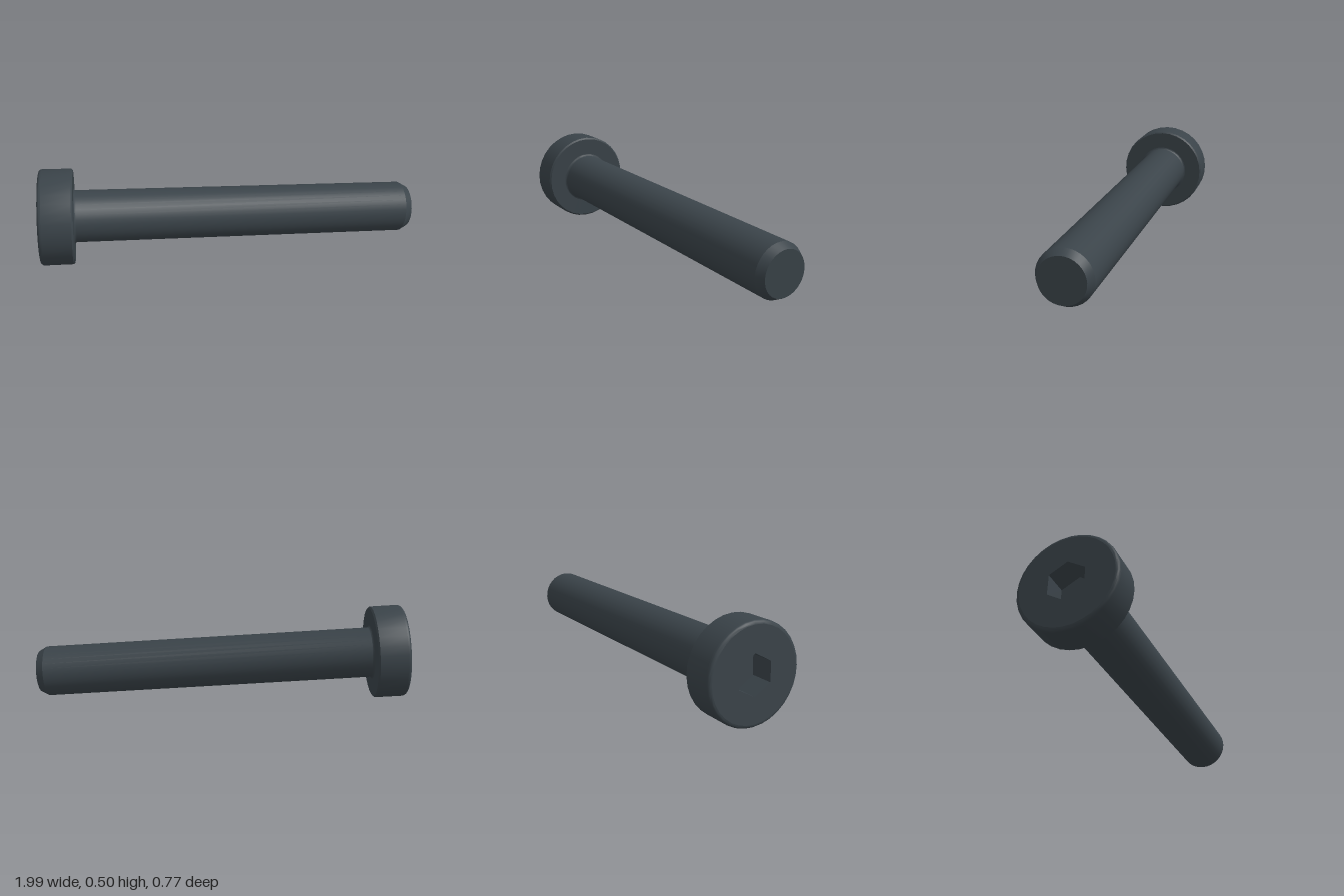
import * as THREE from 'three';
import { toCreasedNormals } from 'three/addons/utils/BufferGeometryUtils.js';

const SIDES = 32;
const HEAD_R = 0.246, HEAD_H = 0.17, HEAD_FILLET = 0.018, UNDER_CHAMFER = 0.008;
const SHANK_R = 0.134, TIP_R = 0.112, TIP_CHAMFER = 0.04, NECK_FILLET = 0.012;
const HEX_R = 0.1, HEX_DEPTH = 0.12;

// Quarter-round profile points about (cx, cy)
function arc(cx, cy, r, from, to, steps = 4) {
  return Array.from({ length: steps + 1 }, (_, i) => {
    const a = from + ((to - from) * i) / steps;
    return [cx + r * Math.cos(a), cy + r * Math.sin(a)];
  });
}

function lathe(points, sides) {
  const profile = points.map(([r, y]) => new THREE.Vector2(r, y));
  return toCreasedNormals(new THREE.LatheGeometry(profile, sides), 0.45);
}

function ring(radius, sides) {
  return Array.from({ length: sides }, (_, i) => {
    const a = (i / sides) * Math.PI * 2;
    return new THREE.Vector2(radius * Math.sin(a), radius * Math.cos(a));
  });
}

export function createModel() {
  const steel = new THREE.MeshStandardMaterial({ color: 0x3a4349 });
  steel.name = 'dark steel';

  const model = new THREE.Group();
  model.name = 'socketHeadBolt';
  const add = (name, geometry) => {
    const mesh = new THREE.Mesh(geometry, steel);
    mesh.name = name;
    model.add(mesh);
  };

  // Bolt axis runs along local y, from the head's outer face to the tip
  const seat = new THREE.Vector3(-0.78, 0.248, -0.117);
  const tip = new THREE.Vector3(0.972, 0.134, 0.261);
  const axis = tip.clone().sub(seat).normalize();
  const length = HEAD_H + tip.distanceTo(seat);

  // Head wall: rounded outer rim, small chamfer and flat bearing face
  add('head', lathe([
    ...arc(HEAD_R - HEAD_FILLET, HEAD_FILLET, HEAD_FILLET, -Math.PI / 2, 0),
    [HEAD_R, HEAD_H - UNDER_CHAMFER],
    [HEAD_R - UNDER_CHAMFER, HEAD_H],
    [SHANK_R + NECK_FILLET, HEAD_H],
  ], SIDES));

  // Outer face with the hexagonal opening
  const face = new THREE.Shape(ring(HEAD_R - HEAD_FILLET, SIDES));
  face.holes.push(new THREE.Path(ring(HEX_R, 6)));
  add('headFace', new THREE.ShapeGeometry(face).rotateX(Math.PI / 2));

  // Hexagonal socket: floor and inward-facing walls
  add('hexSocket', lathe([[0, HEX_DEPTH], [HEX_R, HEX_DEPTH], [HEX_R, 0]], 6));

  // Plain shank with a filleted neck and chamfered tip
  add('shank', lathe([
    ...arc(SHANK_R + NECK_FILLET, HEAD_H + NECK_FILLET, NECK_FILLET, -Math.PI / 2, -Math.PI),
    [SHANK_R, length - TIP_CHAMFER],
    [TIP_R, length],
    [0, length],
  ], SIDES));

  // Lay the bolt down so the head rim and the tip both touch the ground
  const up = new THREE.Vector3(0, 1, 0).addScaledVector(axis, -axis.y).normalize();
  const side = new THREE.Vector3().crossVectors(axis, up);
  model.quaternion.setFromRotationMatrix(new THREE.Matrix4().makeBasis(side, axis, up));
  model.position.copy(seat).addScaledVector(axis, -HEAD_H);
  return model;
}
